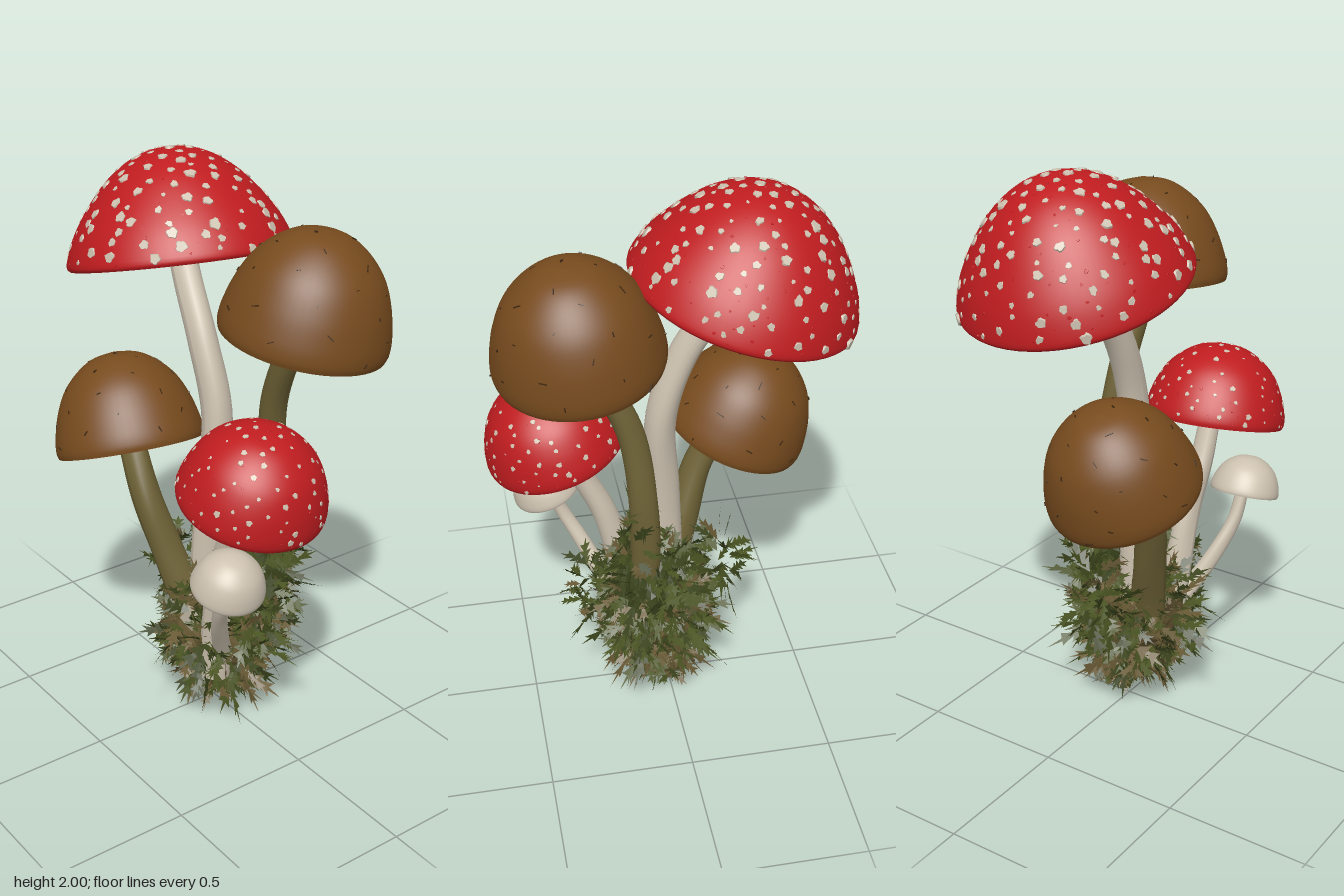
import * as THREE from 'three';
import { mergeGeometries } from 'three/addons/utils/BufferGeometryUtils.js';

const V = (x, y, z) => new THREE.Vector3(x, y, z);
const UP = V(0, 1, 0);
let seed = 7;
const rnd = () => (seed = (seed * 16807) % 2147483647) / 2147483647;
const span = (a, b) => a + (b - a) * rnd();

function mat(name, color, double) {
  const m = new THREE.MeshStandardMaterial({ color });
  m.name = name;
  if (double) m.side = THREE.DoubleSide;
  return m;
}

function mesh(name, geometry, material) {
  const m = new THREE.Mesh(geometry, material);
  m.name = name;
  return m;
}

// Cap outlines from rim to apex, as fractions of radius and height
const ROUND = [[0.98, -0.01], [1, 0.06], [0.98, 0.2], [0.9, 0.43], [0.76, 0.66], [0.55, 0.84], [0.3, 0.96], [0, 1]];
const BROAD = [[0.98, -0.01], [1, 0.05], [0.92, 0.27], [0.78, 0.5], [0.6, 0.72], [0.4, 0.88], [0.2, 0.97], [0, 1]];

function capGeometry(outline, R, h) {
  const curve = new THREE.SplineCurve(outline.map(([r, y]) => new THREE.Vector2(r * R, y * h)));
  const pts = curve.getPoints(32).map(p => new THREE.Vector2(Math.max(p.x, 0), p.y));
  pts[pts.length - 1].x = 0;
  return new THREE.LatheGeometry(pts, 56);
}

// Pleated underside with one fold per gill
function gillGeometry(R, folds) {
  const pos = [], rings = [0.978, 0.75, 0.45, 0.18, 0], n = folds * 2;
  const pt = (k, j) => {
    const f = rings[k], a = (j / n) * Math.PI * 2;
    const y = R * 0.28 * (1 - f * f) + (j % 2 ? 0.045 * R * Math.min(1, f * 1.6) : 0);
    return [Math.sin(a) * f * R, y, Math.cos(a) * f * R];
  };
  for (let k = 0; k < rings.length - 1; k++) {
    for (let j = 0; j < n; j++) {
      const a = pt(k, j), b = pt(k, j + 1), c = pt(k + 1, j), d = pt(k + 1, j + 1);
      pos.push(...a, ...c, ...b, ...b, ...c, ...d);
    }
  }
  const g = new THREE.BufferGeometry();
  g.setAttribute('position', new THREE.Float32BufferAttribute(pos, 3));
  g.computeVertexNormals();
  return g;
}

// Small pieces scattered evenly over a cap; make() returns one piece lying on y = 0
function scatter(outline, R, h, count, make) {
  const parts = [], turn = span(0, 6);
  for (let i = 0; i < count; i++) {
    const y = 1 - ((i + span(0.2, 0.8)) / count) * 0.96, a = turn + i * 2.39996 + span(-0.15, 0.15);
    let k = 1;
    while (k < outline.length - 2 && outline[k + 1][1] < y) k++;
    const [r0, y0] = outline[k], [r1, y1] = outline[k + 1];
    const t = THREE.MathUtils.clamp((y - y0) / (y1 - y0), 0, 1);
    const bow = k === outline.length - 2 ? Math.sqrt(1 - t) : 1 - t;
    const r = r1 + (r0 - r1) * bow;
    const normal = V(Math.sin(a) * r / R, y / h, Math.cos(a) * r / R).normalize();
    const g = make();
    g.rotateY(span(0, 6.28));
    g.applyQuaternion(new THREE.Quaternion().setFromUnitVectors(UP, normal));
    g.translate(Math.sin(a) * r * R, y * h, Math.cos(a) * r * R);
    parts.push(g);
  }
  return mergeGeometries(parts);
}

// Flat wart with a ragged outline
function wart(size) {
  const g = new THREE.CylinderGeometry(0.8, 1, 0.9, 14), p = g.attributes.position;
  const ph = span(0, 6);
  for (let i = 0; i < p.count; i++) {
    const a = Math.atan2(p.getZ(i), p.getX(i)), f = 1 + 0.1 * Math.sin(3 * a + ph) + 0.13 * Math.cos(5 * a + ph);
    p.setXYZ(i, p.getX(i) * f, p.getY(i), p.getZ(i) * f);
  }
  g.scale(size, size * 0.6, size * span(0.75, 1.15));
  return g;
}

// Tapered stem with soft lengthwise ridges
function stemGeometry(points, r0, r1) {
  const curve = new THREE.CatmullRomCurve3(points.map(p => V(...p)));
  const N = 36, M = 18, g = new THREE.TubeGeometry(curve, N, 1, M), p = g.attributes.position, v = V();
  for (let i = 0; i <= N; i++) {
    const c = curve.getPointAt(i / N), r = r0 + (r1 - r0) * (i / N);
    for (let j = 0; j <= M; j++) {
      const k = i * (M + 1) + j, a = (j / M) * Math.PI * 2;
      v.fromBufferAttribute(p, k).sub(c).multiplyScalar(r * (1 + 0.05 * Math.sin(3 * a + i * 0.2))).add(c);
      p.setXYZ(k, v.x, v.y, v.z);
    }
  }
  g.computeVertexNormals();
  return g;
}

// Moss frond: a curved spine with broad pointed leaflets on both sides
function addFrond(pos, base, dir, L, W) {
  const side = V(span(-1, 1), span(-1, 1), span(-1, 1)).cross(dir).normalize();
  const bend = V(span(-0.3, 0.3), span(-0.5, 0.25), span(-0.3, 0.3)).multiplyScalar(L);
  const at = (t, s) => base.clone().addScaledVector(dir, L * t).addScaledVector(bend, t * t).addScaledVector(side, s);
  const tri = (...vs) => vs.forEach(v => pos.push(v.x, v.y, v.z));
  for (let k = 0; k < 3; k++) {
    const t = k * 0.25, w = W * (1 - 0.6 * Math.abs(t - 0.25));
    for (const s of [-1, 1]) tri(at(t, 0), at(t + 0.32, 0), at(t + span(0.3, 0.45), s * w));
  }
  tri(at(0.6, -W * 0.35), at(0.6, W * 0.35), at(1.1, 0));
}

export function createModel() {
  const root = new THREE.Group();
  root.name = 'mushroomCluster';
  const red = mat('capRed', 0xbf1c1f), brown = mat('capBrown', 0x774b1e), cream = mat('cream', 0xcdc2b0);
  const olive = mat('stemOlive', 0x6e6236), gill = mat('gillBeige', 0xbdb19e, true), dark = mat('fleckBrown', 0x3f2912);
  const moss = mat('mossGreen', 0x4b5523, true), deepMoss = mat('mossDark', 0x3a431c, true), soil = mat('soilOlive', 0x6a5b36, true);

  // Mushrooms: rim centre, cap axis, radius, height, stem path and stem radii
  const mushrooms = [
    { name: 'tallRed', cap: red, stem: cream, outline: BROAD, c: [-0.24, 1.627, -0.04], axis: [-0.27, 0.95, -0.06], R: 0.387, h: 0.374, warts: 165, size: [0.009, 0.021],
      path: [[0.01, 0.2, 0.02], [0, 0.55, 0.03], [0.01, 0.85, 0.02], [0.02, 1.15, 0], [-0.06, 1.4, 0], [-0.18, 1.6, -0.02], [-0.27, 1.77, -0.04]], r: [0.062, 0.047] },
    { name: 'tallBrown', cap: brown, stem: olive, outline: ROUND, c: [0.303, 1.485, -0.13], axis: [0.12, 0.96, -0.14], R: 0.282, h: 0.365,
      path: [[0.09, 0.25, -0.07], [0.1, 0.6, -0.14], [0.11, 0.9, -0.165], [0.15, 1.2, -0.14], [0.26, 1.45, -0.125], [0.31, 1.6, -0.135]], r: [0.056, 0.042] },
    { name: 'lowBrown', cap: brown, stem: olive, outline: ROUND, c: [-0.265, 0.97, 0.165], axis: [-0.37, 0.92, -0.06], R: 0.262, h: 0.335,
      path: [[0.03, 0.25, 0.07], [-0.03, 0.45, 0.1], [-0.085, 0.62, 0.14], [-0.15, 0.82, 0.18], [-0.28, 1.07, 0.17]], r: [0.066, 0.046] },
    { name: 'lowRed', cap: red, stem: cream, outline: ROUND, c: [0.363, 1.0, 0.12], axis: [0.28, 0.95, -0.04], R: 0.25, h: 0.275, warts: 125, size: [0.005, 0.012],
      path: [[0.12, 0.2, 0.08], [0.15, 0.45, 0.1], [0.21, 0.7, 0.11], [0.29, 0.88, 0.12], [0.36, 1.09, 0.12]], r: [0.055, 0.036] },
    { name: 'smallPale', cap: cream, stem: cream, outline: ROUND, c: [0.395, 0.73, 0.235], axis: [0.32, 0.95, 0], R: 0.125, h: 0.135,
      path: [[0.16, 0.28, 0.07], [0.22, 0.4, 0.13], [0.29, 0.53, 0.19], [0.35, 0.64, 0.225], [0.4, 0.78, 0.235]], r: [0.034, 0.022] },
  ];
  for (const m of mushrooms) {
    const g = new THREE.Group();
    g.name = m.name + 'Mushroom';
    const head = new THREE.Group();
    head.name = m.name + 'Head';
    head.position.set(...m.c);
    head.quaternion.setFromUnitVectors(UP, V(...m.axis).normalize());
    head.add(mesh('cap', capGeometry(m.outline, m.R, m.h), m.cap), mesh('gills', gillGeometry(m.R, 64), gill));
    if (m.warts) {
      head.add(mesh('warts', scatter(m.outline, m.R, m.h, m.warts, () => wart(span(...m.size))), cream));
      head.add(mesh('bumps', scatter(m.outline, m.R, m.h, m.warts, () => wart(span(0.004, 0.007))), red));
    }
    if (m.cap === brown) {
      head.add(mesh('flecks', scatter(m.outline, m.R, m.h, 34, () => new THREE.BoxGeometry(span(0.008, 0.03), 0.009, 0.003)), dark));
    }
    g.add(head, mesh('stem', stemGeometry(m.path, ...m.r), m.stem));
    root.add(g);
  }

  // Clump: mossy body narrowing to a soil foot, with tufts climbing the stems
  const lumps = [
    { c: V(0.045, 0.32, 0), r: V(0.18, 0.25, 0.195), n: 620, len: [0.05, 0.13], core: soil },
    { c: V(0.08, 0.52, -0.1), r: V(0.13, 0.17, 0.14), n: 260, len: [0.05, 0.13], core: deepMoss },
    { c: V(0.13, 0.78, -0.18), r: V(0.05, 0.13, 0.05), n: 28, len: [0.05, 0.1] },
    { c: V(-0.2, 0.5, 0), r: V(0.06, 0.11, 0.07), n: 36, len: [0.06, 0.13] },
    { c: V(0.27, 0.45, 0), r: V(0.06, 0.1, 0.09), n: 40, len: [0.05, 0.11] },
    { c: V(0.015, 0.11, -0.055), r: V(0.08, 0.09, 0.07), n: 70, len: [0.02, 0.06], core: soil },
  ];
  const narrow = (v, l) => {
    const f = l === lumps[0] ? THREE.MathUtils.clamp(0.45 + v.y * 1.7, 0.4, 1) : 1;
    return v.set(l.c.x + (v.x - l.c.x) * f, v.y, l.c.z + (v.z - l.c.z) * f);
  };
  for (const l of lumps.filter(l => l.core)) {
    const g = new THREE.IcosahedronGeometry(1, 6), p = g.attributes.position, v = V();
    for (let i = 0; i < p.count; i++) {
      v.fromBufferAttribute(p, i);
      const f = 0.9 + 0.07 * Math.sin(v.x * 9 + v.y * 5) + 0.06 * Math.sin(v.z * 11 - v.y * 7);
      v.multiply(l.r).multiplyScalar(f).add(l.c);
      narrow(v, l);
      p.setXYZ(i, v.x, v.y, v.z);
    }
    g.computeVertexNormals();
    root.add(mesh('clumpCore', g, l.core));
  }

  // Moss fronds and dry bits growing out of the clump
  const heaps = [[], [], []];
  for (const l of lumps) {
    for (let i = 0; i < l.n; i++) {
      const u = 1 - 2 * (i + 0.5) / l.n, s = Math.sqrt(1 - u * u), a = i * 2.39996;
      const out = V(Math.cos(a) * s, u, Math.sin(a) * s);
      const base = narrow(out.clone().multiply(l.r).multiplyScalar(0.88).add(l.c), l);
      const dir = out.add(V(span(-0.9, 0.9), span(-0.5, 0.9), span(-0.9, 0.9))).normalize();
      const L = span(...l.len);
      if (base.y + dir.y * L < 0.05) dir.y = Math.abs(dir.y) * 0.3;
      const dry = base.y < 0.24 ? 0.5 : 0.14, pick = rnd();
      addFrond(heaps[pick < dry ? 2 : pick < dry + (1 - dry) * 0.65 ? 0 : 1], base, dir, L, span(0.018, 0.034));
    }
  }
  [['mossFronds', moss], ['shadedMossFronds', deepMoss], ['dryBits', soil]].forEach(([name, material], i) => {
    const g = new THREE.BufferGeometry();
    g.setAttribute('position', new THREE.Float32BufferAttribute(heaps[i], 3));
    g.computeVertexNormals();
    root.add(mesh(name, g, material));
  });
  return root;
}
